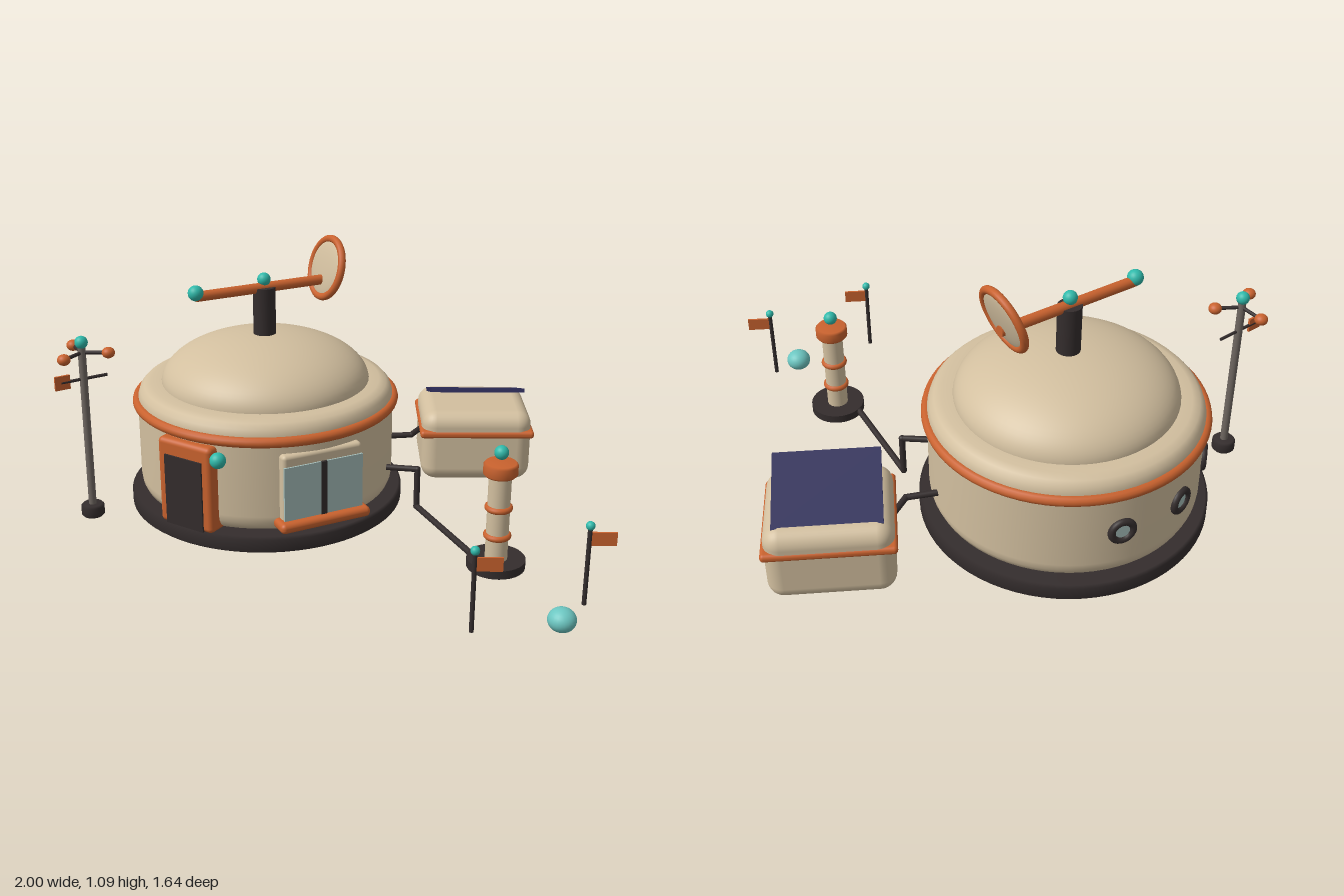
import * as THREE from 'three';
import { RoundedBoxGeometry } from 'three/addons/geometries/RoundedBoxGeometry.js';

const mat = (name, color) => {
  const m = new THREE.MeshStandardMaterial({ color });
  m.name = name;
  return m;
};

export function createModel() {
  const cream = mat('cream', 0xd2bf9f), orange = mat('orange', 0xc9622e), dark = mat('charcoal', 0x342d2d);
  const teal = mat('teal', 0x2fb9aa), glass = mat('glass', 0xa6bfbb), navy = mat('navy', 0x2b2a58);
  const grey = mat('grey', 0x6f6761), crystal = mat('crystal', 0x6cc6c1);

  const root = new THREE.Group();
  const V = (x, y, z) => new THREE.Vector3(x, y, z);
  const group = (name, x, y, z, parent = root) => {
    const g = new THREE.Group();
    g.name = name;
    g.position.set(x, y, z);
    parent.add(g);
    return g;
  };
  const add = (parent, name, geo, m, x = 0, y = 0, z = 0) => {
    const mesh = new THREE.Mesh(geo, m);
    mesh.name = name;
    mesh.position.set(x, y, z);
    parent.add(mesh);
    return mesh;
  };
  const ball = (parent, name, r, m, x, y, z) => add(parent, name, new THREE.SphereGeometry(r, 24, 16), m, x, y, z);
  const drum = (parent, name, r, y0, y1, m) =>
    add(parent, name, new THREE.CylinderGeometry(r, r, y1 - y0, 32), m, 0, (y0 + y1) / 2, 0);
  const ring = (parent, name, R, t, y, m) => {
    const mesh = add(parent, name, new THREE.TorusGeometry(R, t, 12, 72), m, 0, y, 0);
    mesh.rotation.x = Math.PI / 2;
    return mesh;
  };
  const lathe = (parent, name, pts, m) =>
    add(parent, name, new THREE.LatheGeometry(pts.map(p => new THREE.Vector2(...p)), 72), m);
  const rbox = (w, h, d, r) => new RoundedBoxGeometry(w, h, d, 4, r);
  // Rod between two points
  const rod = (parent, name, a, b, r, m) => {
    const dir = b.clone().sub(a), mid = a.clone().add(b).multiplyScalar(0.5);
    const mesh = add(parent, name, new THREE.CylinderGeometry(r, r, dir.length(), 16), m, mid.x, mid.y, mid.z);
    mesh.quaternion.setFromUnitVectors(V(0, 1, 0), dir.normalize());
    return mesh;
  };

  // Round main building
  const hab = group('habitat', -0.225, 0, -0.275);
  lathe(hab, 'foundation', [[0, 0.05], [0.535, 0.05], [0.545, 0.058], [0.545, 0.105], [0.535, 0.115], [0, 0.115]], dark);
  lathe(hab, 'wall', [[0.44, 0.112], [0.47, 0.116], [0.492, 0.132], [0.502, 0.155], [0.505, 0.18], [0.505, 0.46],
    [0.503, 0.5], [0.495, 0.525], [0.478, 0.543], [0.45, 0.552], [0.4, 0.553], [0, 0.553]], cream);
  ring(hab, 'roofRim', 0.506, 0.02, 0.48, orange);
  const dome = add(hab, 'dome', new THREE.SphereGeometry(0.41, 64, 20, 0, Math.PI * 2, 0, Math.PI / 2), cream, 0, 0.545, 0);
  dome.scale.y = 0.19 / 0.41;

  // Pieces mounted on the wall, facing outward at an angle
  const onWall = (name, deg) => {
    const g = group(name, 0, 0, 0, hab);
    g.rotation.y = THREE.MathUtils.degToRad(deg);
    return g;
  };
  const door = onWall('door', -32);
  add(door, 'doorFrame', rbox(0.245, 0.345, 0.1, 0.02), orange, 0, 0.283, 0.485);
  add(door, 'doorPanel', new THREE.BoxGeometry(0.17, 0.28, 0.009), dark, 0, 0.255, 0.537);
  ball(hab, 'doorLamp', 0.03, teal, -0.145, 0.435, 0.565);

  const win = onWall('window', 27);
  add(win, 'windowHousing', rbox(0.325, 0.28, 0.1, 0.015), cream, 0, 0.293, 0.463);
  for (const s of [-1, 1])
    add(win, 'windowPane', new THREE.BoxGeometry(0.15, 0.22, 0.009), glass, s * 0.086, 0.28, 0.515);
  add(win, 'mullion', new THREE.BoxGeometry(0.024, 0.22, 0.014), dark, 0, 0.28, 0.516);
  add(win, 'windowSill', rbox(0.37, 0.04, 0.09, 0.018), orange, 0, 0.157, 0.505);

  for (const deg of [-165, -135, -105]) {
    const p = onWall('porthole', deg);
    add(p, 'portholeRim', new THREE.TorusGeometry(0.04, 0.014, 12, 32), dark, 0, 0.318, 0.508);
    add(p, 'portholeGlass', new THREE.CylinderGeometry(0.038, 0.038, 0.009, 32), glass, 0, 0.318, 0.507).rotation.x = Math.PI / 2;
  }

  // Mast with a boom and a dish
  drum(hab, 'mast', 0.044, 0.7, 0.92, dark);
  ball(hab, 'mastLight', 0.026, teal, 0, 0.95, 0);
  rod(hab, 'boom', V(-0.25, 0.918, 0.135), V(0.255, 0.918, -0.135), 0.02, orange);
  ball(hab, 'boomLight', 0.03, teal, -0.25, 0.932, 0.135);
  const dish = group('dish', 0.24, 0.962, -0.13, hab);
  dish.quaternion.setFromUnitVectors(V(0, 0, 1), V(0.85, -0.27, -0.45).normalize());
  add(dish, 'dishRim', new THREE.TorusGeometry(0.115, 0.015, 12, 48), orange);
  add(dish, 'dishBowl', new THREE.SphereGeometry(0.114, 40, 20), cream).scale.z = 0.16;

  // Power unit with tilted solar panel
  const power = group('powerUnit', 0.637, 0, -0.55);
  add(power, 'powerCase', rbox(0.45, 0.3, 0.385, 0.06), cream, 0, 0.206, 0);
  add(power, 'powerBand', rbox(0.467, 0.032, 0.395, 0.014), orange, 0, 0.267, 0);
  const panel = add(power, 'solarPanel', new THREE.BoxGeometry(0.38, 0.016, 0.3), navy, 0, 0.396, 0.002);
  panel.rotation.x = -0.34;

  // Pipes
  const pipe = (name, pts) => {
    for (let i = 0; i + 1 < pts.length; i++) {
      rod(root, name, pts[i], pts[i + 1], 0.012, dark);
      ball(root, name + 'Joint', 0.0125, dark, ...pts[i + 1].toArray());
    }
  };
  pipe('powerPipe', [V(0.22, 0.235, -0.42), V(0.37, 0.235, -0.44), V(0.44, 0.235, -0.56)]);
  pipe('beaconPipe', [V(0.22, 0.23, -0.125), V(0.375, 0.23, -0.1), V(0.375, 0.07, -0.1), V(0.56, 0.07, 0.32)]);

  // Beacon column
  const beacon = group('beacon', 0.635, 0, 0.35);
  drum(beacon, 'beaconBase', 0.107, 0.05, 0.083, dark);
  drum(beacon, 'beaconColumn', 0.041, 0.083, 0.42, cream);
  for (const y of [0.175, 0.285]) ring(beacon, 'beaconRing', 0.039, 0.012, y, orange);
  add(beacon, 'beaconCap', rbox(0.01, 0.01, 0.01, 0.004), orange, 0, 0.43, 0);
  lathe(beacon, 'beaconHead', [[0, 0.41], [0.055, 0.41], [0.062, 0.418], [0.062, 0.452], [0.055, 0.46], [0, 0.46]], orange);
  ball(beacon, 'beaconLight', 0.026, teal, 0, 0.497, 0);

  // Weather pole with three cups and a vane
  const pole = group('weatherPole', -0.902, 0, -0.055);
  lathe(pole, 'poleBase', [[0, 0.05], [0.038, 0.05], [0.045, 0.058], [0.045, 0.092], [0.038, 0.1], [0, 0.1]], dark);
  drum(pole, 'poleShaft', 0.015, 0.1, 0.745, grey);
  ball(pole, 'poleLight', 0.025, teal, 0, 0.765, 0);
  for (let i = 0; i < 3; i++) {
    const a = i * Math.PI * 2 / 3, tip = V(0.1 * Math.cos(a), 0.725, 0.1 * Math.sin(a));
    rod(pole, 'cupArm', V(0, 0.725, 0), tip, 0.007, dark);
    ball(pole, 'cup', 0.025, orange, ...tip.toArray()).scale.y = 0.85;
  }
  const vane = group('vane', 0, 0.62, 0, pole);
  vane.rotation.y = 0.57;
  rod(vane, 'vaneRod', V(-0.09, 0, 0), V(0.095, 0, 0), 0.006, dark);
  add(vane, 'vaneTail', new THREE.BoxGeometry(0.06, 0.055, 0.009), orange, -0.085, 0, 0);

  // Marker flags
  for (const [x, z] of [[0.5, 0.805], [0.905, 0.625]]) {
    const flag = group('markerFlag', x, 0, z);
    drum(flag, 'flagPost', 0.008, 0.05, 0.345, dark);
    ball(flag, 'flagLight', 0.016, teal, 0, 0.35, 0);
    add(flag, 'flagPlate', new THREE.BoxGeometry(0.088, 0.05, 0.008), orange, 0.049, 0.301, 0);
  }

  // Crystal boulder
  ball(root, 'crystalBoulder', 0.05, crystal, 0.815, 0.043, 0.715).scale.y = 0.86;

  return root;
}
